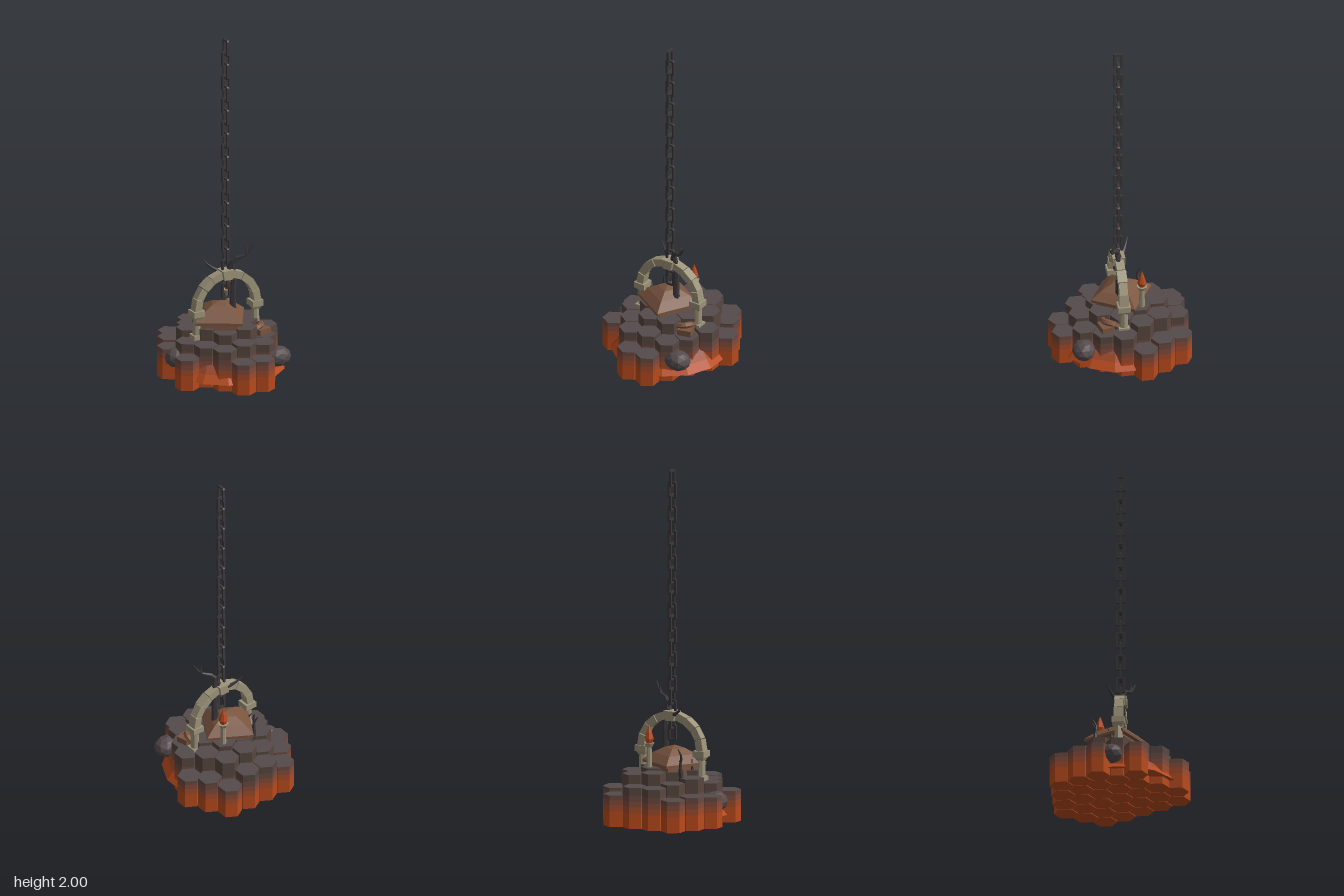
import * as THREE from 'three';
import { mergeGeometries } from 'three/addons/utils/BufferGeometryUtils.js';

const mat = (name, color) => {
  const m = new THREE.MeshStandardMaterial({ color });
  m.name = name;
  return m;
};

// Facet a geometry so that every face is flat
const flat = (geo) => {
  const g = geo.index ? geo.toNonIndexed() : geo;
  g.computeVertexNormals();
  return g;
};

// Tapered tube through a few points, closed by a pointed end
function horn(points, r0, r1, sides = 6, steps = 8) {
  const curve = new THREE.CatmullRomCurve3(points.map((p) => new THREE.Vector3(...p)));
  const geo = new THREE.TubeGeometry(curve, steps, 1, sides);
  const pos = geo.attributes.position, v = new THREE.Vector3();
  for (let i = 0; i < pos.count; i++) {
    const t = Math.floor(i / (sides + 1)) / steps;
    const c = curve.getPointAt(t);
    v.fromBufferAttribute(pos, i).sub(c).multiplyScalar(r0 + (r1 - r0) * t).add(c);
    pos.setXYZ(i, v.x, v.y, v.z);
  }
  return flat(geo);
}

export function createModel() {
  const model = new THREE.Group();
  model.name = 'hangingBasaltIsland';

  const lava = mat('lava orange', 0xb84a1c);
  const ember = mat('ember', 0xa04a2a);
  const warm = mat('warm stone', 0x834a3a);
  const cooling = mat('cooling stone', 0x6a4940);
  const brown = mat('brown stone', 0x57463f);
  const basalt = mat('basalt', 0x544a4c);
  const bone = mat('bone', 0x9c947a);
  const hide = mat('hide', 0x7a5540);
  const iron = mat('dark iron', 0x3c383b);

  const add = (name, geo, material, x = 0, y = 0, z = 0, parent = model) => {
    const m = new THREE.Mesh(geo, material);
    m.name = name;
    m.position.set(x, y, z);
    parent.add(m);
    return m;
  };

  // Basalt columns: rows of [z step, [x, height] ...]
  const rows = [
    [-3, [[-0.184, 0.18], [-0.061, 0.235], [0.062, 0.235], [0.186, 0.18]]],
    [-2, [[-0.245, 0.19], [-0.122, 0.25], [0, 0.3], [0.124, 0.285], [0.247, 0.2]]],
    [-1, [[-0.306, 0.18], [-0.184, 0.27], [-0.061, 0.3], [0.062, 0.31], [0.185, 0.285], [0.309, 0.18]]],
    [0, [[-0.245, 0.235], [-0.122, 0.3], [0, 0.3], [0.124, 0.3], [0.247, 0.25]]],
    [1, [[-0.306, 0.18], [-0.184, 0.235], [-0.061, 0.29], [0.062, 0.3], [0.185, 0.235]]],
    [2, [[-0.122, 0.235], [0, 0.25], [0.124, 0.235]]],
    [3, [[-0.061, 0.18], [0.062, 0.18]]],
  ];
  const bands = [[0, lava], [0.09, ember], [0.125, warm], [0.155, cooling], [0.19, brown], [1, null]];
  const R = 0.0685;
  const sides = bands.map(() => []), tops = [], bottoms = [];
  for (const [r, cols] of rows) {
    for (const [x, h] of cols) {
      const z = r * 0.107;
      for (let b = 0; b < bands.length - 1; b++) {
        const y0 = bands[b][0], y1 = Math.min(h, bands[b + 1][0]);
        if (y1 <= y0) continue;
        sides[b].push(flat(new THREE.CylinderGeometry(R, R, y1 - y0, 6, 1, true)).translate(x, (y0 + y1) / 2, z));
      }
      const cap = new THREE.CircleGeometry(R, 6, Math.PI / 2);
      tops.push(cap.clone().rotateX(-Math.PI / 2).translate(x, h, z));
      bottoms.push(cap.rotateX(Math.PI / 2).translate(x, 0, z));
    }
  }
  sides.forEach((list, b) => list.length && add('columnSides' + b, mergeGeometries(list), bands[b][1]));
  add('columnTops', mergeGeometries(tops), basalt);
  add('columnBottoms', mergeGeometries(bottoms), lava);

  // Faceted lava skirt between the columns
  const skirt = [[0.335, 0.045, lava], [0.3, 0.09, ember], [0.275, 0.125, warm], [0.24, 0.15, null]];
  for (let i = 0; i < 3; i++) {
    const [r0, y0, m] = skirt[i], [r1, y1] = skirt[i + 1];
    add('lavaSkirt' + i, flat(new THREE.CylinderGeometry(r1, r0, y1 - y0, 14, 1, true)), m, 0, (y0 + y1) / 2, 0);
  }
  add('lavaSkirtTop', new THREE.CircleGeometry(0.24, 14).rotateX(-Math.PI / 2), cooling, 0, 0.15, 0);
  add('lavaSkirtBase', new THREE.CircleGeometry(0.335, 14, Math.PI / 2).rotateX(Math.PI / 2), lava, 0, 0.045, 0);

  // Boulders
  for (const [x, y, z, sx, sy, sz] of [[0.205, 0.138, 0.232, 0.079, 0.06, 0.066], [-0.295, 0.135, -0.03, 0.073, 0.06, 0.064]]) {
    const rock = add('boulder', flat(new THREE.IcosahedronGeometry(1, 1)), basalt, x, y, z);
    rock.scale.set(sx, sy, sz);
  }

  // Four-sided hut with a bulging hide roof
  const hut = new THREE.Group();
  hut.name = 'hut';
  hut.position.set(-0.028, 0, -0.022);
  hut.rotation.y = 0.255;
  model.add(hut);
  const profile = [[0.15, 0.325], [0.186, 0.325], [0.186, 0.34], [0.125, 0.383], [0.06, 0.415], [0, 0.43]];
  add('hutRoof', flat(new THREE.LatheGeometry(profile.map((p) => new THREE.Vector2(...p)), 4)), hide, 0, 0, 0, hut);
  add('hutWalls', flat(new THREE.CylinderGeometry(0.15, 0.155, 0.06, 4)), hide, 0, 0.3, 0, hut);

  // Small annex in front of the hut, with a bent pipe
  const annex = add('annex', new THREE.BoxGeometry(0.08, 0.035, 0.07), hide, 0.172, 0.255, 0.1);
  annex.rotation.y = 0.25;
  add('annexPipe', horn([[0.18, 0.26, 0.03], [0.183, 0.285, 0.075], [0.16, 0.285, 0.105], [0.125, 0.275, 0.11]], 0.018, 0.018), hide);

  // Bone arch: legs, capitals and wedge blocks
  const cy = 0.405, ar = 0.19;
  for (const s of [-1, 1]) {
    add('archLeg', flat(new THREE.CylinderGeometry(0.022, 0.026, 0.16, 8)), bone, s * 0.187, 0.3, 0);
    add('archFoot', new THREE.BoxGeometry(0.06, 0.025, 0.062), bone, s * 0.187, 0.25, 0);
    add('archCapital', new THREE.BoxGeometry(0.07, 0.035, 0.072), bone, s * 0.187, 0.39, 0);
    add('archCapitalNeck', flat(new THREE.CylinderGeometry(0.042, 0.026, 0.022, 4, 1).rotateY(Math.PI / 4)), bone, s * 0.187, 0.362, 0);
  }
  const blocks = 9;
  for (let i = 0; i < blocks; i++) {
    const a0 = (i / blocks) * Math.PI + 0.008, a1 = ((i + 1) / blocks) * Math.PI - 0.008;
    const key = i === 4, d = key ? 0.072 : i % 2 ? 0.048 : 0.054;
    const ri = ar - (key ? 0.028 : 0.022), ro = ar + (key ? 0.028 : 0.022);
    const shape = new THREE.Shape();
    shape.moveTo(ri * Math.cos(a0), ri * Math.sin(a0));
    shape.lineTo(ro * Math.cos(a0), ro * Math.sin(a0));
    shape.lineTo(ro * Math.cos(a1), ro * Math.sin(a1));
    shape.lineTo(ri * Math.cos(a1), ri * Math.sin(a1));
    const geo = new THREE.ExtrudeGeometry(shape, { depth: d, bevelEnabled: false }).translate(0, 0, -d / 2);
    add(key ? 'archKeystone' : 'archBlock', geo, bone, 0, cy, 0);
  }

  // Torch with a faceted flame
  const torch = new THREE.Group();
  torch.name = 'torch';
  torch.position.set(0.08, 0, -0.122);
  model.add(torch);
  add('torchPost', flat(new THREE.CylinderGeometry(0.014, 0.018, 0.14, 8)), bone, 0, 0.365, 0, torch);
  add('torchCup', flat(new THREE.CylinderGeometry(0.031, 0.018, 0.025, 8)), bone, 0, 0.435, 0, torch);
  const flame = [[0, 0.44], [0.018, 0.447], [0.026, 0.472], [0.015, 0.51], [0, 0.55]];
  add('torchFlame', flat(new THREE.LatheGeometry(flame.map((p) => new THREE.Vector2(...p)), 7)), lava, 0, 0, 0, torch);

  // Chain of rectangular links, each turned a quarter from the last
  const link = new THREE.Shape();
  const rect = (p, w, h, c) => p.setFromPoints([[-w + c, -h], [w - c, -h], [w, -h + c], [w, h - c], [w - c, h], [-w + c, h], [-w, h - c], [-w, -h + c]].map((q) => new THREE.Vector2(...q)));
  rect(link, 0.027, 0.048, 0.007);
  link.holes.push(rect(new THREE.Path(), 0.015, 0.036, 0.003));
  const linkGeo = new THREE.ExtrudeGeometry(link, { depth: 0.013, bevelEnabled: false }).translate(0, 0, -0.0065);
  for (let i = 0; i < 22; i++) {
    const m = add('chainLink', linkGeo, iron, 0, 1.952 - i * 0.0694, 0);
    if (i % 2 === 0) m.rotation.y = Math.PI / 2;
  }

  // Dead trunk and branches winding over the arch
  add('trunk', horn([[0.045, 0.3, 0], [0.042, 0.45, 0.003], [0.045, 0.57, 0.005], [0.03, 0.67, 0.01]], 0.021, 0.014), iron);
  add('rightBranch', horn([[0.02, 0.62, 0], [0.045, 0.68, 0.02], [0.1, 0.705, 0.05], [0.14, 0.765, 0.073]], 0.017, 0.003), iron);
  add('branchFork', horn([[0.1, 0.705, 0.05], [0.108, 0.735, 0.05], [0.1, 0.768, 0.045]], 0.009, 0.002), iron);
  add('leftBranch', horn([[0, 0.59, -0.01], [-0.045, 0.612, -0.038], [-0.075, 0.635, -0.055], [-0.104, 0.67, -0.072]], 0.016, 0.002), iron);

  // Small thorns beside the hut
  add('thorn', horn([[-0.13, 0.25, -0.13], [-0.128, 0.34, -0.135], [-0.13, 0.39, -0.13], [-0.12, 0.435, -0.15]], 0.016, 0.003), iron);
  add('thornFork', horn([[-0.128, 0.36, -0.133], [-0.138, 0.385, -0.142], [-0.143, 0.405, -0.15]], 0.009, 0.002), iron);
  add('thorn', horn([[-0.15, 0.27, -0.035], [-0.152, 0.33, -0.045], [-0.165, 0.37, -0.067]], 0.012, 0.002), iron);

  return model;
}
